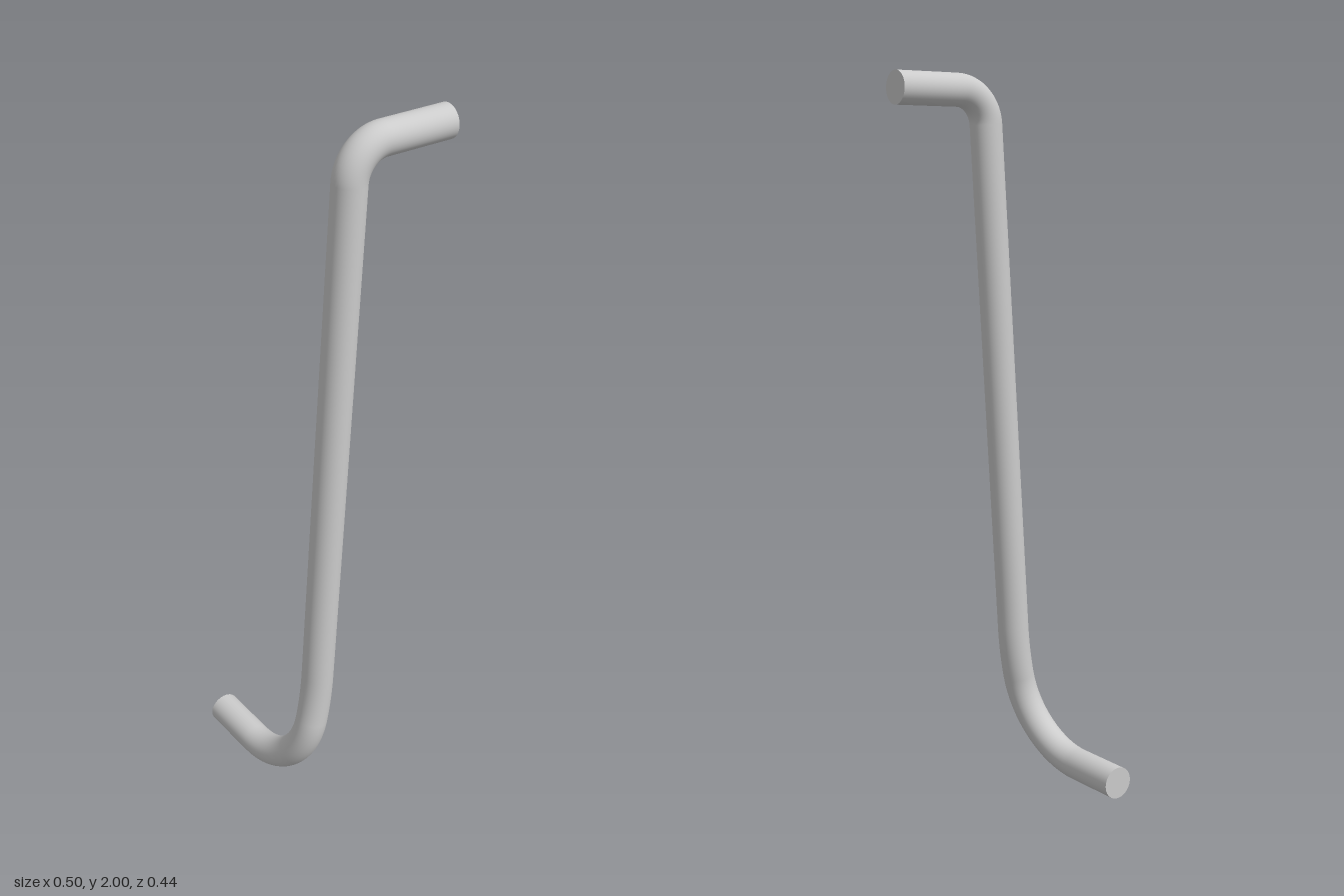
import * as THREE from 'three';

const RADIUS = 0.045;
const SIDES = 40;
const ARC_STEPS = 16;

// Corners of the rod's centre line, each with its bend radius
const corners = [
  { p: [-0.205, 0.045, -0.223], r: 0 },
  { p: [-0.205, 0.045, 0.176], r: 0.225 },
  { p: [-0.143, 0.34, 0.176], r: 1.1 },
  { p: [-0.038, 1.955, 0.176], r: 0.097 },
  { p: [0.25, 1.955, 0.176], r: 0 },
].map(({ p, r }) => ({ p: new THREE.Vector3(...p), r }));

// Stations (point and tangent) along straight runs joined by true circular bends
function bentStations() {
  const stations = [];
  const last = corners.length - 1;
  const direction = (i) => corners[i + 1].p.clone().sub(corners[i].p).normalize();
  stations.push({ point: corners[0].p, tangent: direction(0) });
  for (let i = 1; i < last; i++) {
    const { p, r } = corners[i];
    const a = direction(i - 1);
    const b = direction(i);
    const angle = a.angleTo(b);
    const start = p.clone().addScaledVector(a, -r * Math.tan(angle / 2));
    const inward = b.clone().addScaledVector(a, -a.dot(b)).normalize();
    for (let k = 0; k <= ARC_STEPS; k++) {
      const t = (angle * k) / ARC_STEPS;
      stations.push({
        point: start.clone().addScaledVector(a, r * Math.sin(t)).addScaledVector(inward, r * (1 - Math.cos(t))),
        tangent: a.clone().multiplyScalar(Math.cos(t)).addScaledVector(inward, Math.sin(t)),
      });
    }
  }
  stations.push({ point: corners[last].p, tangent: direction(last - 1) });
  return stations;
}

// Curve that places one tube ring at each station
class RodPath extends THREE.Curve {
  constructor(stations) {
    super();
    this.stations = stations;
  }
  at(u) {
    return this.stations[Math.round(u * (this.stations.length - 1))];
  }
  getPoint(u, target = new THREE.Vector3()) {
    return target.copy(this.at(u).point);
  }
  getPointAt(u, target) {
    return this.getPoint(u, target);
  }
  getTangentAt(u, target = new THREE.Vector3()) {
    return target.copy(this.at(u).tangent);
  }
}

export function createModel() {
  const group = new THREE.Group();
  group.name = 'bentRod';
  const material = new THREE.MeshStandardMaterial({ color: 0xcccccc });
  const stations = bentStations();

  // Rod
  const rod = new THREE.Mesh(
    new THREE.TubeGeometry(new RodPath(stations), stations.length - 1, RADIUS, SIDES),
    material,
  );
  rod.name = 'rod';
  group.add(rod);

  // Flat end faces
  const addEnd = (name, { point, tangent }, sign) => {
    const end = new THREE.Mesh(new THREE.CircleGeometry(RADIUS, SIDES), material);
    end.name = name;
    end.position.copy(point);
    end.quaternion.setFromUnitVectors(new THREE.Vector3(0, 0, 1), tangent.clone().multiplyScalar(sign));
    group.add(end);
  };
  addEnd('lowerEnd', stations[0], -1);
  addEnd('upperEnd', stations[stations.length - 1], 1);

  return group;
}
